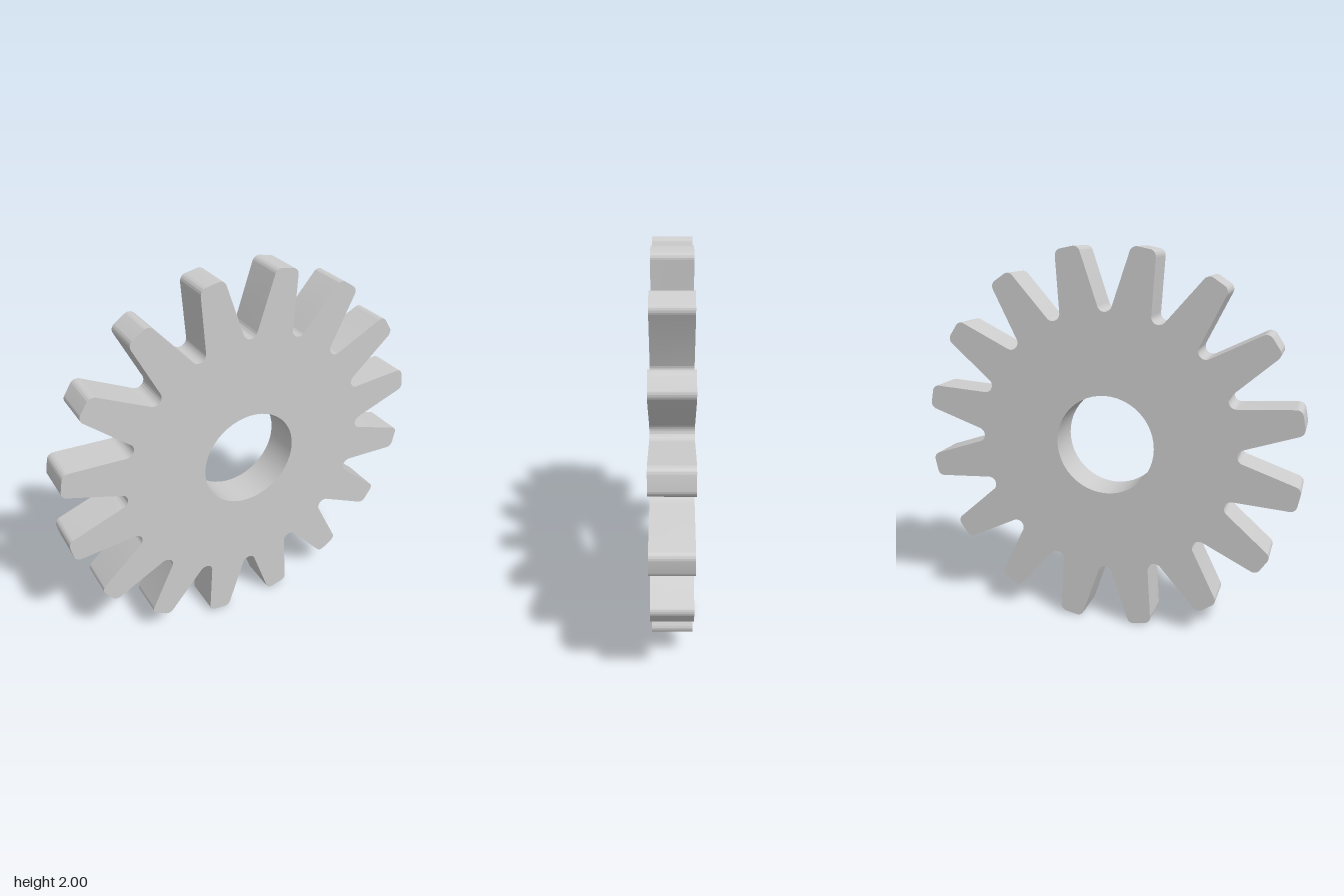
import * as THREE from 'three';
import { toCreasedNormals } from 'three/addons/utils/BufferGeometryUtils.js';

const TEETH = 16;
const THICKNESS = 0.2;
const BORE = 0.262;
const rad = THREE.MathUtils.degToRad;

// Closed outline: a round root, then a tapered tooth with two rounded tip corners
function gearShape() {
  const pitch = (2 * Math.PI) / TEETH;
  const gapSlope = rad(18.8);               // flank against the middle of the gap
  const toothSlope = gapSlope - pitch / 2;  // flank against the middle of the tooth
  const root = { dist: 0.724, r: 0.039 };
  const corner = { along: 0.977, side: 0.0312, r: 0.035 };
  const shape = new THREE.Shape();

  for (let i = 0; i < TEETH; i++) {
    const gap = i * pitch;
    const tooth = gap + pitch / 2;
    const c = Math.cos(tooth), s = Math.sin(tooth);
    const sweep = Math.PI / 2 + gapSlope;
    const tip = Math.PI / 2 - toothSlope;

    shape.absarc(root.dist * Math.cos(gap), root.dist * Math.sin(gap), root.r,
      gap - sweep, gap + sweep, true);
    for (const side of [-1, 1]) {
      const x = corner.along * c - side * corner.side * s;
      const y = corner.along * s + side * corner.side * c;
      shape.absarc(x, y, corner.r,
        side < 0 ? tooth - tip : tooth, side < 0 ? tooth : tooth + tip, false);
    }
  }
  shape.closePath();

  // Central bore
  shape.holes.push(new THREE.Path().absarc(0, 0, BORE, 0, Math.PI * 2, true));
  return shape;
}

export function createModel() {
  const group = new THREE.Group();
  group.name = 'gear';

  const extruded = new THREE.ExtrudeGeometry(gearShape(), {
    depth: THICKNESS, bevelEnabled: false, curveSegments: 24,
  });
  extruded.translate(0, 0, -THICKNESS / 2);

  const wheel = new THREE.Mesh(
    toCreasedNormals(extruded, rad(30)),
    new THREE.MeshStandardMaterial({ color: 0xcccccc }),
  );
  wheel.name = 'toothedWheel';
  wheel.position.y = 1;
  group.add(wheel);
  return group;
}
